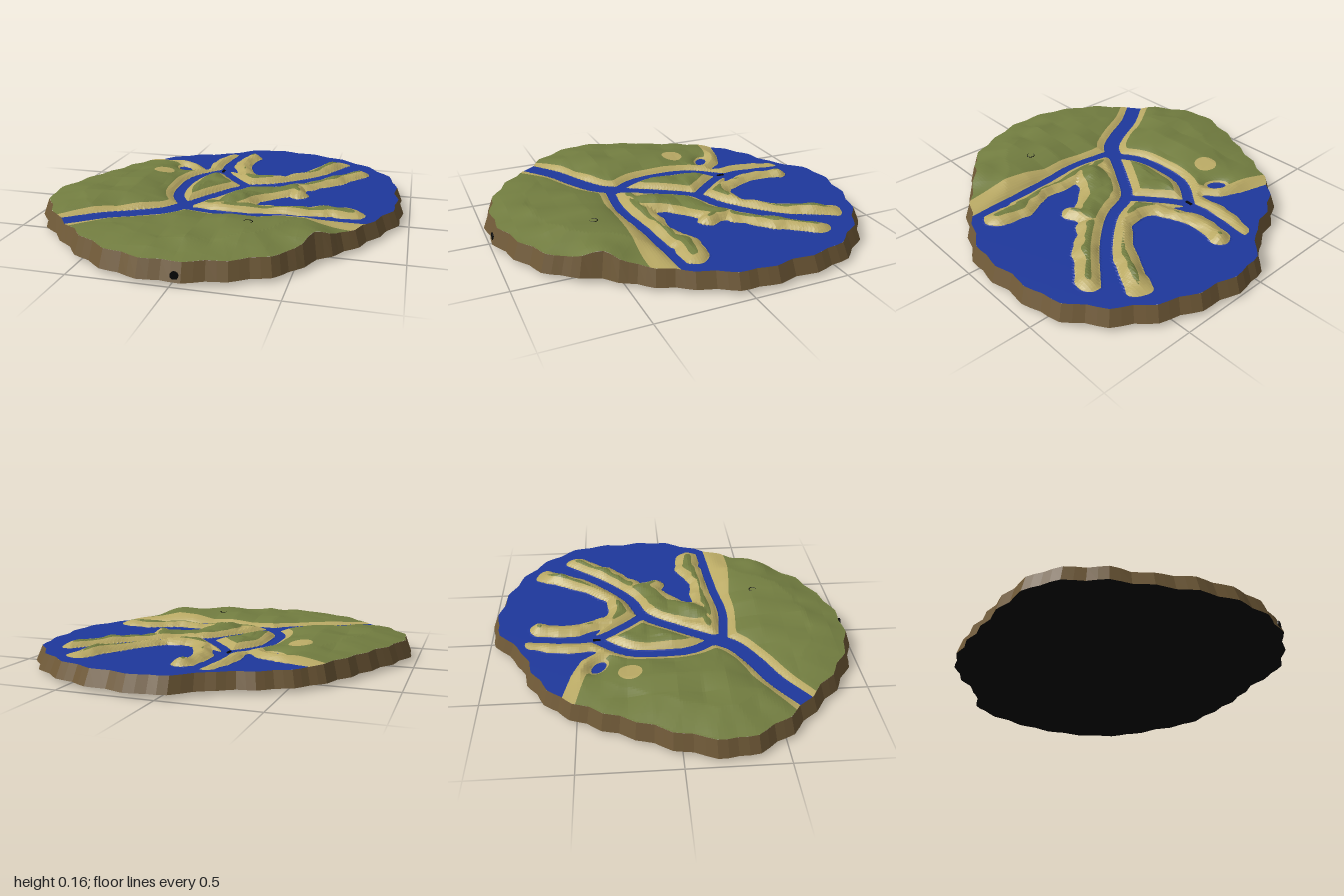
import * as THREE from 'three';

const WATER = 0.1, FLOOR = 0.02, GRID = 140, RIM = 120, INSET = 0.967;

// Flat lists of x,z in hundredths of a unit
const pts = (...n) => {
  const out = [];
  for (let i = 0; i < n.length; i += 2) out.push([n[i] / 100, n[i + 1] / 100]);
  return out;
};

// Smooth line through a few points
const smooth = (line) => new THREE.CatmullRomCurve3(line.map(([x, z]) => new THREE.Vector3(x, 0, z)))
  .getPoints(line.length * 3).map((p) => [p.x, p.z]);

// Rim: one radius every 15 degrees, smoothed, with small scallops
const radii = [96, 89, 86, 85, 93, 96, 100, 101, 99, 97, 100, 101, 92, 85, 84, 86, 86, 86, 99, 102, 105, 107, 106, 99];
const rimCurve = new THREE.CatmullRomCurve3(radii.map((r, i) =>
  new THREE.Vector3(Math.cos(i * Math.PI / 12), 0, Math.sin(i * Math.PI / 12)).multiplyScalar(r / 100)), true);
const outline = Array.from({ length: RIM }, (_, i) => {
  const p = rimCurve.getPoint(i / RIM), k = 0.99 + 0.01 * Math.sin(i * Math.PI / 2);
  return [p.x * k, p.z * k];
});
const topOutline = outline.map(([x, z]) => [x * INSET, z * INSET]);

// Mainland, reaching past the rim
const mainland = pts(-120, -66, -75, -61, -42, -53, -30, -48, -24, -40, -15, -38, -15, 28, 35, 28, 110, 24, 110, 110,
  -120, 110);

// Spits and island: half-width and centre line
const spits = [
  [0.05, pts(-15, -74, -19, -55, -18, -42)],
  [0.055, pts(-2, -72, -4, -55, 4, -30)],
  [0.09, pts(4, -28, 14, -24, 26, -26)],
  [0.065, pts(26, -28, 40, -43, 54, -72)],
  [0.08, pts(66, -53, 54, -37, 40, -23)],
  [0.12, pts(30, -14, 11, 2, 6, 16)],
  [0.08, pts(6, 18, -8, 24)],
  [0.055, pts(34, -14, 40, -6)],
  [0.085, pts(5, 24, 38, 23)],
  [0.075, pts(38, 23, 50, 19, 58, 15, 70, 17)],
  [0.17, pts(-13, -25, -13, 8)],
];

// River channels: half-width and centre line
const channels = [
  [0.046, smooth(pts(-80, 70, -68, 61, -53, 50, -37, 42, -23, 33, -17, 24))],
  [0.03, smooth(pts(-17, 24, -25, 11, -27, -5, -25, -24, -12, -42))],
  [0.026, smooth(pts(-9, -85, -12, -42, -1, -25, 8, -15))],
  [0.032, smooth(pts(-17, 24, -5, 4, 8, -14, 24, -21, 43, -37, 64, -62))],
  [0.025, smooth(pts(-18, 28, 8, 31, 35, 28, 95, 24))],
];

function segmentDistance(x, z, [ax, az], [bx, bz]) {
  const dx = bx - ax, dz = bz - az;
  const t = THREE.MathUtils.clamp(((x - ax) * dx + (z - az) * dz) / (dx * dx + dz * dz), 0, 1);
  return Math.hypot(x - ax - t * dx, z - az - t * dz);
}

// Distance to a polygon's edge, positive inside
function inside(x, z, poly) {
  let d = Infinity, odd = false;
  poly.forEach((a, i) => {
    const b = poly[(i + 1) % poly.length];
    d = Math.min(d, segmentDistance(x, z, a, b));
    if ((a[1] > z) !== (b[1] > z) && x < a[0] + (b[0] - a[0]) * (z - a[1]) / (b[1] - a[1])) odd = !odd;
  });
  return odd ? d : -d;
}

// Distance to the nearest of several wide strokes, negative inside
function strokeDistance(x, z, strokes) {
  let d = Infinity;
  for (const [half, line] of strokes)
    for (let i = 1; i < line.length; i++) d = Math.min(d, segmentDistance(x, z, line[i - 1], line[i]) - half);
  return d;
}

// Seeded bumps, linear between lattice points
const hash = (i, j) => { const s = Math.sin(i * 127.1 + j * 311.7) * 43758.5453; return s - Math.floor(s); };
function noise(x, z) {
  const i = Math.floor(x), j = Math.floor(z), u = x - i, v = z - j;
  return (hash(i, j) * (1 - u) + hash(i + 1, j) * u) * (1 - v) + (hash(i, j + 1) * (1 - u) + hash(i + 1, j + 1) * u) * v;
}

// Terrain sample: [x, y, z, inside rim, on land, on grass]
function sample(x, z) {
  const rim = inside(x, z, topOutline);
  const ragged = noise(x * 18 + 60, z * 18 + 60) - 0.5;
  const main = inside(x, z, mainland);
  const spit = 0.022 * ragged - strokeDistance(x, z, spits);
  const river = strokeDistance(x, z, channels);
  const pond = Math.hypot((x + 0.37) / 1.3, z + 0.39 - (x + 0.37) * 0.4) - 0.035;
  const land = Math.min(Math.max(main, spit), river, pond);
  const southShore = z > 0.2 && main > 0 ? 0.06 * THREE.MathUtils.smoothstep(x, 0.1, 0.7) : 0;
  const clearing = Math.hypot(x + 0.455, z + 0.23) - 0.062;
  const turf = Math.max(main - 0.08 - southShore, spit - 0.052 + 0.015 * ragged);
  const grass = Math.min(turf, river - 0.042 - southShore, pond - 0.012, clearing);
  const rise = 1 - Math.exp(-Math.max(land, 0) / 0.05);
  const edge = 0.22 + 0.78 * THREE.MathUtils.clamp(rim / 0.18, 0, 1);
  const knoll = 0.04 * Math.exp(-((x - 0.57) ** 2 + (z - 0.57) ** 2) / 0.01);
  const bumps = 0.024 + 0.038 * noise(x * 8 + 20, z * 8 + 20) + (main > 0 ? 0 : 0.016 * ragged);
  return [x, WATER + rise * (edge * bumps + knoll), z, rim, land, grass];
}

// Keeps the part of a polygon where sign * field k is positive
function clip(poly, k, sign) {
  const out = [];
  poly.forEach((a, i) => {
    const b = poly[(i + 1) % poly.length], fa = a[k] * sign, fb = b[k] * sign;
    if (fa >= 0) out.push(a);
    if ((fa >= 0) !== (fb >= 0)) out.push(a.map((v, n) => v + (b[n] - v) * fa / (fa - fb)));
  });
  return out;
}

function geometryFrom(positions) {
  const g = new THREE.BufferGeometry();
  g.setAttribute('position', new THREE.Float32BufferAttribute(positions, 3));
  g.computeVertexNormals();
  return g;
}

export function createModel() {
  const group = new THREE.Group();
  const material = (name, color) => Object.assign(new THREE.MeshStandardMaterial({ color }), { name });
  const mats = {
    water: material('water blue', 0x1e389c),
    sand: material('sand', 0xb9a964),
    grass: material('grass green', 0x727d40),
    earth: material('earth brown', 0x6f5937),
    black: material('black', 0x050505),
  };
  const add = (name, geometry, mat, x = 0, y = 0, z = 0) => {
    const mesh = new THREE.Mesh(geometry, mat);
    mesh.name = name;
    mesh.position.set(x, y, z);
    group.add(mesh);
  };

  // Terrain grid, cut along the rim, shoreline and grass line
  const grid = [];
  for (let i = 0; i <= GRID; i++) {
    grid.push([]);
    for (let j = 0; j <= GRID; j++) grid[i].push(sample(-1.02 + 2.04 * i / GRID, -1.02 + 2.04 * j / GRID));
  }
  const faces = { water: [], sand: [], grass: [] };
  const fan = (list, poly) => {
    for (let i = 2; i < poly.length; i++)
      for (const p of [poly[0], poly[i - 1], poly[i]]) list.push(p[0], p[1], p[2]);
  };
  for (let i = 0; i < GRID; i++) for (let j = 0; j < GRID; j++) {
    const a = grid[i][j], b = grid[i][j + 1], c = grid[i + 1][j + 1], d = grid[i + 1][j];
    for (const tri of [[a, b, c], [a, c, d]]) {
      const top = clip(tri, 3, 1), land = clip(top, 4, 1);
      fan(faces.water, clip(top, 4, -1));
      fan(faces.grass, clip(land, 5, 1));
      fan(faces.sand, clip(land, 5, -1));
    }
  }
  for (const key of Object.keys(faces)) add(key, geometryFrom(faces[key]), mats[key]);

  // Sloping earth wall following the terrain edge
  const wall = [];
  const low = outline.map(([x, z]) => [x, FLOOR, z]);
  const high = topOutline.map(([x, z]) => sample(x, z).slice(0, 3));
  for (let i = 0; i < RIM; i++) {
    const n = (i + 1) % RIM;
    wall.push(...low[i], ...high[i], ...high[n], ...low[i], ...high[n], ...low[n]);
  }
  add('earthWall', geometryFrom(wall), mats.earth);

  // Underside with two shallow feet
  const base = new THREE.ShapeGeometry(new THREE.Shape(outline.map(([x, z]) => new THREE.Vector2(x, z))));
  add('underside', base.rotateX(Math.PI / 2), mats.black, 0, FLOOR, 0);
  for (const [x, z, depth] of [[-0.13, -0.38, FLOOR], [0.25, 0.54, 0.012]])
    add('foot', new THREE.ConeGeometry(0.08, depth, 12).rotateX(Math.PI), mats.black, x, FLOOR - depth / 2, z);

  // Small dark openings: front wall, river slot and field ring
  add('wallHole', new THREE.CylinderGeometry(0.02, 0.02, 0.008, 16).rotateX(Math.PI / 2), mats.black, 0.02, 0.05, 0.982);
  add('riverSlot', new THREE.BoxGeometry(0.014, 0.006, 0.04), mats.black, -0.13, 0.102, -0.405);
  add('fieldRing', new THREE.TorusGeometry(0.021, 0.002, 6, 20).rotateX(Math.PI / 2), mats.black,
    0.24, sample(0.24, 0.51)[1], 0.51);
  return group;
}
